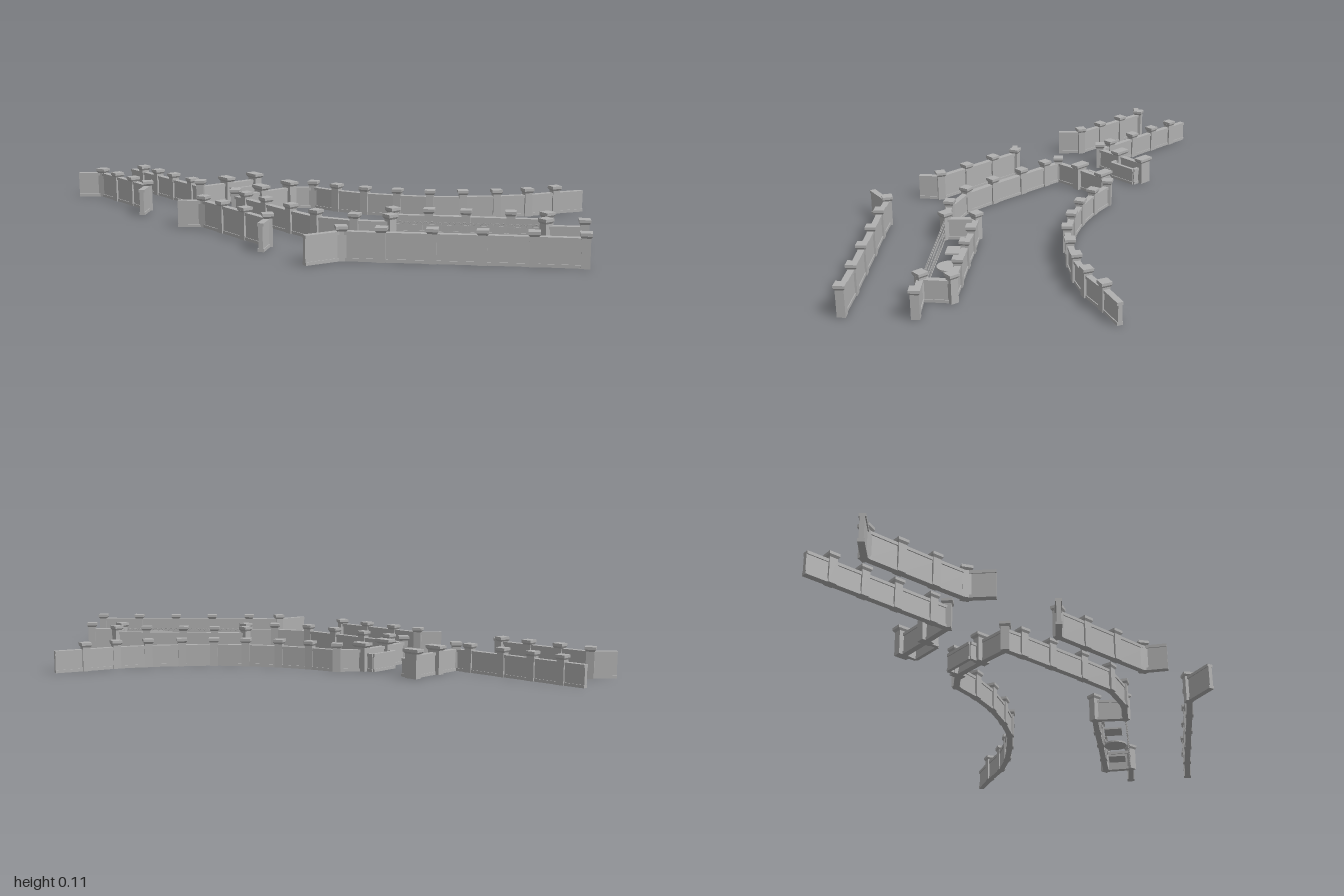
import * as THREE from 'three';

const stone = new THREE.MeshStandardMaterial({ color: 0xb0b0b0 });
stone.name = 'stone grey';

function add(parent, name, geometry, x = 0, y = 0, z = 0) {
  const mesh = new THREE.Mesh(geometry, stone);
  mesh.name = name;
  mesh.position.set(x, y, z);
  parent.add(mesh);
  return mesh;
}

// Heading of the line from a to b, as a turn about y
const heading = (a, b) => Math.atan2(a[1] - b[1], b[0] - a[0]);

// Group lying along a to b, with local x running down its length
function along(parent, name, a, b) {
  const g = new THREE.Group();
  g.name = name;
  g.position.set((a[0] + b[0]) / 2, 0, (a[1] + b[1]) / 2);
  g.rotation.y = heading(a, b);
  parent.add(g);
  return { g, length: Math.hypot(b[0] - a[0], b[1] - a[1]) };
}

// Panel with a plinth below and a coping on top
function wallPanel(parent, a, b, height, thick = 0.014) {
  const { g, length } = along(parent, 'wallPanel', a, b);
  add(g, 'panel', new THREE.BoxGeometry(length, height - 0.01, thick), 0, (height - 0.01) / 2, 0);
  add(g, 'plinth', new THREE.BoxGeometry(length, 0.01, thick + 0.006), 0, 0.005, 0);
  add(g, 'coping', new THREE.BoxGeometry(length, 0.01, thick + 0.007), 0, height - 0.005, 0);
}

// Square post with a flared neck and a flat cap
function post(parent, [x, z], turn, height, depth = 1) {
  const g = new THREE.Group();
  g.name = 'post';
  g.position.set(x, 0, z);
  g.rotation.y = turn;
  g.scale.z = depth;
  parent.add(g);
  add(g, 'shaft', new THREE.BoxGeometry(0.027, height - 0.016, 0.027), 0, (height - 0.016) / 2, 0);
  const neck = new THREE.CylinderGeometry(0.0255, 0.0191, 0.007, 4, 1, true);
  neck.rotateY(Math.PI / 4);
  add(g, 'neck', neck.toNonIndexed(), 0, height - 0.0125, 0).geometry.computeVertexNormals();
  add(g, 'cap', new THREE.BoxGeometry(0.036, 0.009, 0.036), 0, height - 0.0045, 0);
}

// Run of panels with a post at each point; bare lists points left without a post,
// wide lists points with deep gate posts
function run(parent, name, pts, wallH, postH, bare = [], wide = []) {
  const g = new THREE.Group();
  g.name = name;
  parent.add(g);
  pts.forEach((p, i) => {
    if (i < pts.length - 1) wallPanel(g, p, pts[i + 1], wallH);
    if (bare.includes(i)) return;
    if (wide.includes(i)) return post(g, p, Math.PI / 2, postH, 1.7);
    const before = pts[i - 1] || p, after = pts[i + 1] || p;
    const t1 = i ? heading(before, p) : heading(p, after);
    const t2 = i < pts.length - 1 ? heading(p, after) : t1;
    // Turn halfway between the two neighbouring panels
    post(g, p, Math.atan2(Math.sin(t1) + Math.sin(t2), Math.cos(t1) + Math.cos(t2)), postH);
  });
}

// Open railing with rails, bars and small arches along the top
function railing(parent, a, b) {
  const { g, length } = along(parent, 'railing', a, b);
  const bars = 24, step = length / bars, w = 0.002, top = 0.066;
  for (const y of [0.006, 0.026, 0.046, top]) {
    add(g, 'rail', new THREE.BoxGeometry(length, w, w), 0, y, 0);
  }
  const bar = new THREE.BoxGeometry(w, top, w);
  const arch = new THREE.TorusGeometry(step / 2, w / 2, 4, 8, Math.PI);
  for (let i = 0; i <= bars; i++) {
    const x = -length / 2 + i * step;
    add(g, 'bar', bar, x, top / 2, 0);
    if (i < bars) add(g, 'arch', arch, x + step / 2, top, 0);
  }
}

export function createModel() {
  const model = new THREE.Group();
  model.name = 'walledGrounds';
  const innerWall = 0.075, innerPost = 0.098, outerWall = 0.09, outerPost = 0.106;

  // Outer walls with splayed ends
  run(model, 'outerWallWest', [[-0.972, 0.614], [-0.915, 0.545], [-0.8, 0.545], [-0.68, 0.545],
    [-0.57, 0.548], [-0.505, 0.61]], outerWall, outerPost, [0, 5]);
  run(model, 'outerWallMiddle', [[-0.262, 0.608], [-0.205, 0.543], [-0.09, 0.543], [0.04, 0.543],
    [0.165, 0.543], [0.215, 0.605]], outerWall, outerPost, [0, 5]);
  run(model, 'outerWallEast', [[0.43, 0.6], [0.452, 0.48], [0.542, 0.4], [0.65, 0.297], [0.757, 0.197],
    [0.865, 0.095], [0.975, -0.003]], outerWall, outerPost, [0]);

  // Inner wall on the west side of the gate
  run(model, 'innerWallWest', [[-1, 0.371], [-0.915, 0.371], [-0.805, 0.371], [-0.69, 0.371],
    [-0.56, 0.371], [-0.502, 0.371], [-0.5, 0.26], [-0.5, 0.137]], innerWall, innerPost, [0], [6, 7]);

  // Curved wall, sweeping round the gate to the recessed court
  run(model, 'innerWallEast', [[0.43, -0.626], [0.393, -0.525], [0.362, -0.418], [0.31, -0.318],
    [0.242, -0.222], [0.17, -0.135], [0.08, -0.065], [-0.022, -0.003], [-0.128, 0.04], [-0.23, 0.065],
    [-0.28, 0.137], [-0.28, 0.26], [-0.274, 0.371], [-0.205, 0.374], [-0.085, 0.374], [0.055, 0.374],
    [0.185, 0.37], [0.308, 0.312], [0.39, 0.235], [0.315, 0.16], [0.402, 0.082], [0.492, 0.005],
    [0.597, -0.088], [0.683, -0.163], [0.745, -0.088], [0.828, -0.17]],
  innerWall, innerPost, [0], [10, 11]);

  // Low bays beside the gate
  for (const [x0, x1] of [[-0.5, -0.452], [-0.28, -0.324]]) {
    const bay = new THREE.Group();
    bay.name = 'gateBay';
    model.add(bay);
    const pts = [[x0, 0.143], [x1, 0.143], [x1, 0.257], [x0, 0.257]];
    for (let i = 0; i < 3; i++) wallPanel(bay, pts[i], pts[i + 1], 0.062, 0.006);
  }

  // Railing and ground slabs of the court
  const a = [0.39, 0.235], b = [0.745, -0.09];
  railing(model, a, b);
  for (const [x, z] of [[0.437, 0.127], [0.63, -0.048]]) {
    add(model, 'squareSlab', new THREE.BoxGeometry(0.062, 0.006, 0.062), x, 0.003, z).rotation.y = heading(a, b);
  }
  add(model, 'roundSlab', new THREE.CylinderGeometry(0.041, 0.041, 0.006, 32), 0.532, 0.003, 0.042);
  return model;
}
